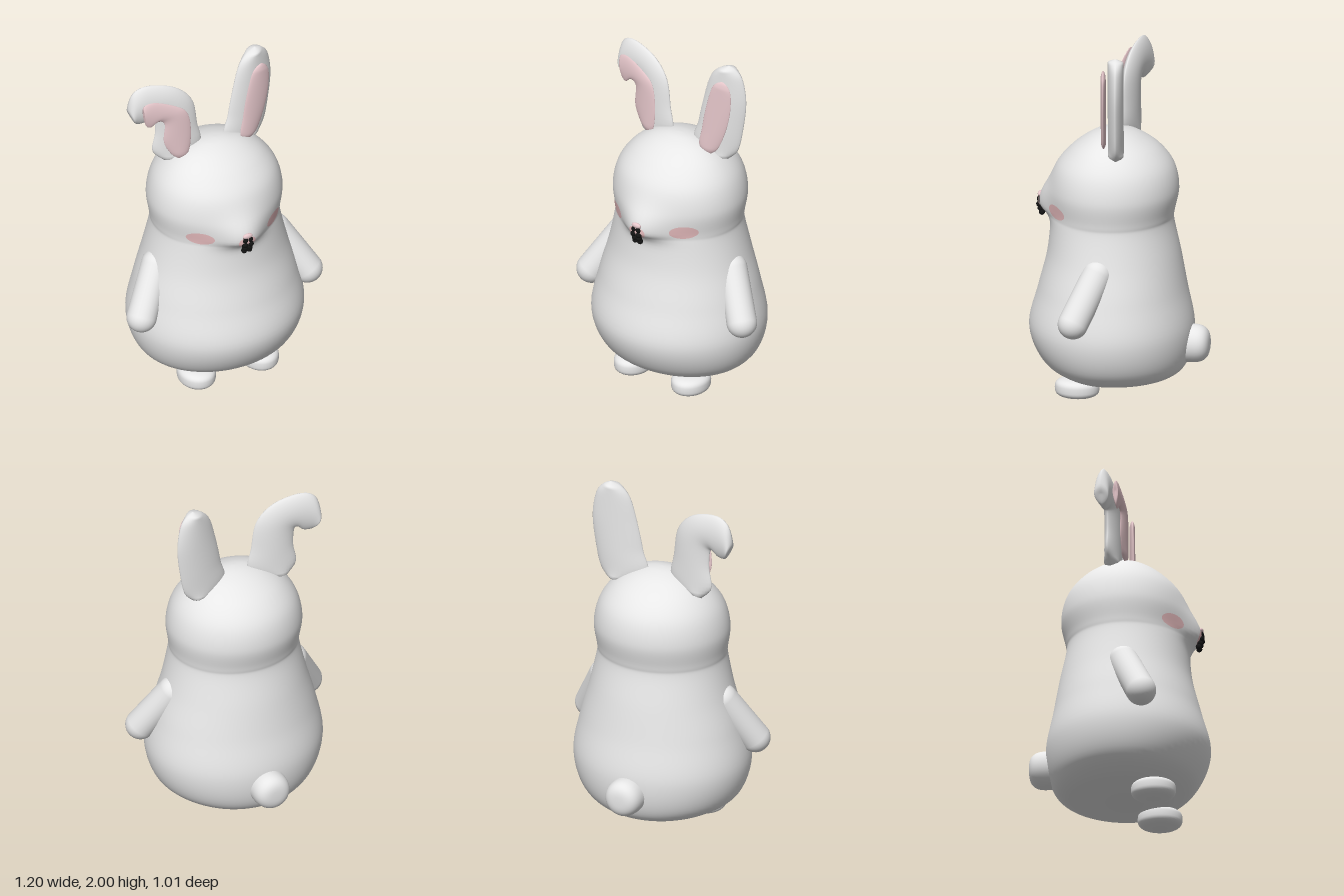
import * as THREE from 'three';
import { mergeVertices } from 'three/addons/utils/BufferGeometryUtils.js';

const mat = (name, color) => Object.assign(new THREE.MeshStandardMaterial({ color }), { name });

// Closed smooth skin: rule(t, a) gives a point for height t (0..1) and angle a
function skin(rule, around, up) {
  const g = new THREE.SphereGeometry(1, around, up);
  const p = g.attributes.position, uv = g.attributes.uv;
  for (let i = 0; i < p.count; i++) {
    const q = rule(uv.getY(i), Math.PI * 2 * uv.getX(i));
    p.setXYZ(i, q[0], q[1], q[2]);
  }
  g.deleteAttribute('uv');
  g.deleteAttribute('normal');
  const m = mergeVertices(g, 1e-5);
  m.computeVertexNormals();
  return m;
}

// Body and head rings: y, half width, front z, back z
const RINGS = [
  [0.07, 0, 0.04, 0.04], [0.08, 0.2, 0.2, -0.15], [0.11, 0.34, 0.31, -0.31],
  [0.2, 0.455, 0.435, -0.385], [0.38, 0.505, 0.505, -0.41], [0.6, 0.465, 0.455, -0.37],
  [0.8, 0.41, 0.405, -0.335], [0.98, 0.37, 0.385, -0.297], [1.04, 0.37, 0.375, -0.3],
  [1.17, 0.385, 0.385, -0.325], [1.3, 0.355, 0.355, -0.3], [1.4, 0.285, 0.275, -0.225],
  [1.47, 0.19, 0.18, -0.12], [1.505, 0.09, 0.1, -0.03], [1.515, 0, 0.04, 0.04],
];
const MID = 0.04;
const heights = new THREE.SplineCurve(RINGS.map((r, i) => new THREE.Vector2(i, r[0])));
const spans = new THREE.CatmullRomCurve3(
  RINGS.map((r) => new THREE.Vector3(r[1], r[2], r[3])), false, 'catmullrom', 0.5);

// Pointed snout pushed out of the head
function snout(x, y) {
  const d = (y - 1.06) / (y > 1.06 ? 0.13 : 0.055);
  return 0.08 * Math.exp(-d * d - (x / 0.15) ** 2);
}

function bodyPoint(t, a) {
  const y = heights.getPoint(t).y, s = spans.getPoint(t);
  const x = -Math.max(s.x, 0) * Math.cos(a), k = Math.sin(a);
  const z = k > 0 ? MID + (s.y - MID) * k + snout(x, y) * k : MID + (MID - s.z) * k;
  return [x, y, z];
}

// Depth of the front surface at x, y
function frontZ(x, y) {
  let lo = 0, hi = 1;
  for (let i = 0; i < 30; i++) {
    const m = (lo + hi) / 2;
    if (heights.getPoint(m).y < y) lo = m; else hi = m;
  }
  return bodyPoint(lo, Math.acos(THREE.MathUtils.clamp(-x / spans.getPoint(lo).x, -1, 1)))[2];
}

// Thin oval lying on the face
function faceOval(cx, cy, rx, ry) {
  const g = new THREE.RingGeometry(0.001, 1, 36, 8);
  const p = g.attributes.position;
  for (let i = 0; i < p.count; i++) {
    const x = cx + p.getX(i) * rx, y = cy + p.getY(i) * ry;
    p.setXYZ(i, x, y, frontZ(x, y) + 0.004);
  }
  g.computeVertexNormals();
  return g;
}

// Lens-shaped leaf between two edges; each row is leftX, leftY, rightX, rightY
function leaf(rows, z, thick) {
  const edge = (k) => new THREE.SplineCurve(rows.map((r) => new THREE.Vector2(r[k], r[k + 1])));
  const left = edge(0), right = edge(2);
  return skin((t, a) => {
    const l = left.getPoint(t), r = right.getPoint(t);
    const w = (1 - Math.cos(a)) / 2, s = Math.sin(a);
    const x = l.x + (r.x - l.x) * w, y = l.y + (r.y - l.y) * w;
    const fat = thick * Math.min(1, l.distanceTo(r) / 0.1);
    return [x, y, z - 0.17 * (Math.abs(x) - 0.24) + fat * Math.sign(s) * Math.abs(s) ** 1.4];
  }, 28, 36);
}

// Plump pad, flatter than a ball
function pad(rx, ry, rz) {
  const pow = (v) => Math.sign(v) * Math.abs(v) ** 0.65;
  return skin((t, a) => {
    const e = (t - 0.5) * Math.PI;
    const r = pow(Math.max(0, Math.cos(e)));
    return [-rx * r * Math.cos(a), ry * pow(Math.sin(e)), rz * r * Math.sin(a)];
  }, 32, 24);
}

const EAR = [
  [0.28, 1.4, 0.28, 1.4], [0.08, 1.46, 0.34, 1.47], [0.1, 1.6, 0.37, 1.6],
  [0.13, 1.75, 0.39, 1.78], [0.17, 1.9, 0.37, 1.92], [0.22, 1.97, 0.33, 1.98], [0.285, 2, 0.285, 2],
];
const EAR_LINING = [
  [0.21, 1.445, 0.21, 1.445], [0.15, 1.49, 0.26, 1.49], [0.165, 1.6, 0.305, 1.6],
  [0.185, 1.72, 0.335, 1.73], [0.22, 1.86, 0.34, 1.85], [0.25, 1.91, 0.32, 1.905], [0.29, 1.93, 0.29, 1.93],
];
const FLOPPY_EAR = [
  [-0.275, 1.4, -0.275, 1.4], [-0.345, 1.48, -0.08, 1.47], [-0.33, 1.6, -0.09, 1.62],
  [-0.335, 1.7, -0.12, 1.79], [-0.355, 1.715, -0.22, 1.895], [-0.385, 1.69, -0.37, 1.935],
  [-0.425, 1.685, -0.455, 1.9], [-0.45, 1.7, -0.485, 1.8], [-0.47, 1.75, -0.47, 1.75],
];
const FLOPPY_LINING = [
  [-0.225, 1.445, -0.225, 1.445], [-0.27, 1.49, -0.17, 1.48], [-0.31, 1.58, -0.155, 1.62],
  [-0.305, 1.7, -0.175, 1.75], [-0.345, 1.725, -0.24, 1.81], [-0.385, 1.695, -0.36, 1.86],
  [-0.415, 1.72, -0.425, 1.845], [-0.42, 1.79, -0.42, 1.79],
];

export function createModel() {
  const fur = mat('white fur', 0xf0f0f0);
  const lining = mat('pale pink', 0xf0d0d4);
  const blush = mat('blush pink', 0xeec2c4);
  const black = mat('black', 0x141414);

  const model = new THREE.Group();
  model.name = 'rabbit';
  const add = (name, geometry, material, x = 0, y = 0, z = 0) => {
    const m = new THREE.Mesh(geometry, material);
    m.name = name;
    m.position.set(x, y, z);
    model.add(m);
    return m;
  };

  add('bodyAndHead', skin(bodyPoint, 72, 100), fur);

  // Ears: one upright, one folded over
  add('leftEar', leaf(EAR, -0.022, 0.045), fur);
  add('leftEarLining', leaf(EAR_LINING, 0.048, 0.015), lining);
  add('rightEar', leaf(FLOPPY_EAR, -0.022, 0.04), fur);
  add('rightEarLining', leaf(FLOPPY_LINING, 0.045, 0.015), lining);

  // Paired limbs and cheeks
  for (const [side, s] of [['left', 1], ['right', -1]]) {
    const hand = new THREE.Vector3(0.513 * s, 0.52, 0.165);
    const shoulder = new THREE.Vector3(0.367 * s, 0.77, 0.055);
    const along = shoulder.clone().sub(hand);
    const c = hand.clone().add(shoulder).multiplyScalar(0.5);
    const arm = add(side + 'Arm', new THREE.CapsuleGeometry(0.085, along.length(), 12, 28), fur, c.x, c.y, c.z);
    arm.quaternion.setFromUnitVectors(new THREE.Vector3(0, 1, 0), along.normalize());

    add(side + 'Foot', pad(0.105, 0.055, 0.125), fur, 0.195 * s, 0.055, 0.205);
    add(side + 'Cheek', faceOval(0.225 * s, 1.07, 0.063, 0.04), blush);
  }

  const tail = add('tail', pad(0.108, 0.115, 0.108), fur, 0, 0.29, -0.39);
  tail.rotation.x = Math.PI / 2;

  // Nose and beaded mouth at the snout tip
  add('muzzleBlush', faceOval(0, 1.06, 0.052, 0.04), blush);
  add('nose', new THREE.SphereGeometry(1, 20, 14), lining, 0, 1.105, 0.453).scale.set(0.03, 0.016, 0.013);
  const bead = new THREE.SphereGeometry(0.017, 14, 10);
  for (const [x, y, z] of [[0.015, 1.08, 0.452], [0.018, 1.05, 0.455], [0.014, 1.025, 0.448], [0.016, 1.003, 0.44]]) {
    for (const s of [1, -1]) add('mouthBead', bead, black, x * s, y, z);
  }
  return model;
}
